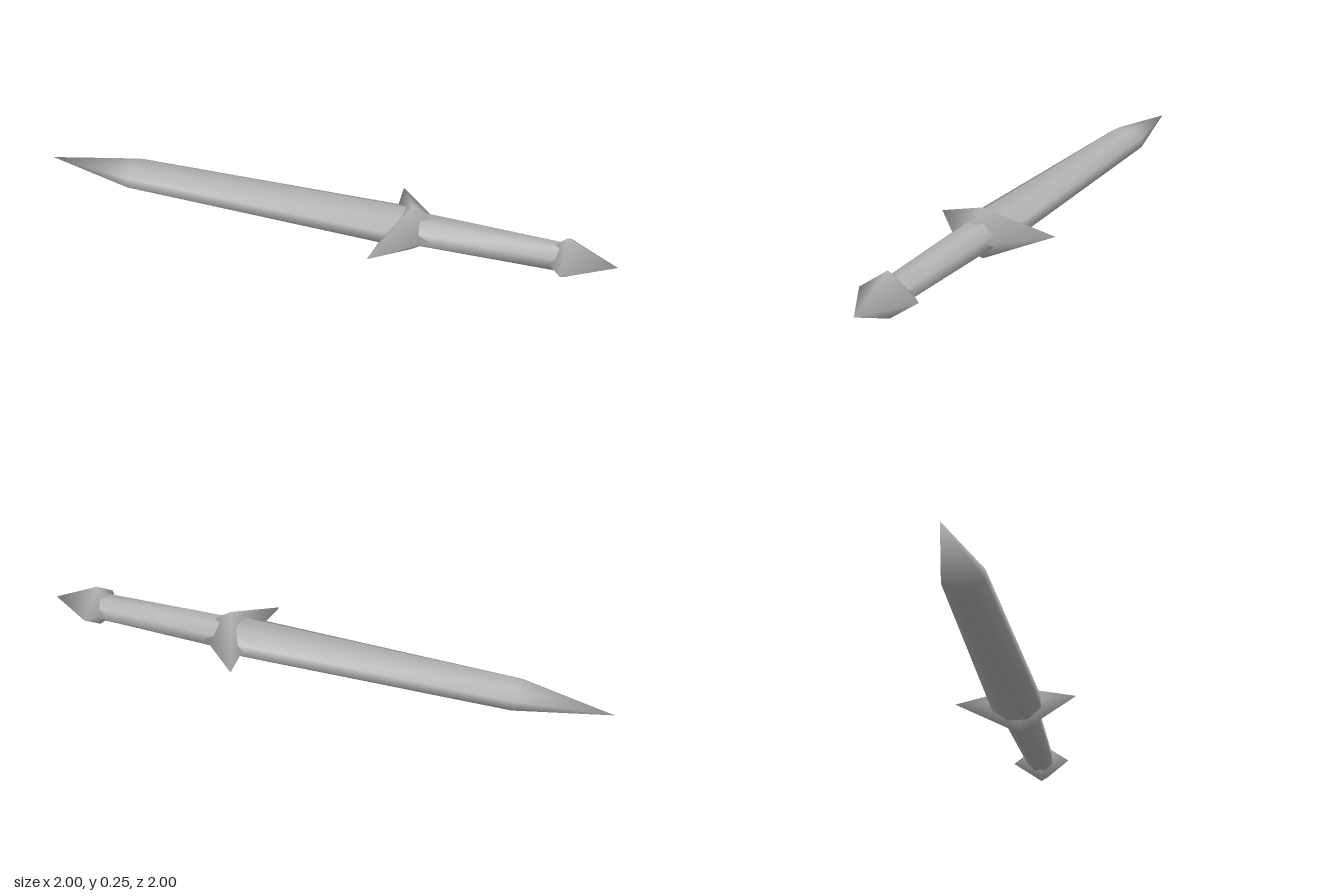
import * as THREE from 'three';
import { mergeVertices } from 'three/addons/utils/BufferGeometryUtils.js';

// Smooth skin through rings along z. Each ring is [z, halfWidth, halfHeight, sweep];
// sweep shifts the side points of a ring along z.
function loft(rings, sides, phase) {
  const pos = [], idx = [];
  const grow = 1 / Math.cos(phase);
  for (const [z, w, h, sweep = 0] of rings) {
    for (let j = 0; j < sides; j++) {
      const a = phase + (j / sides) * Math.PI * 2;
      const c = Math.cos(a), s = Math.sin(a);
      pos.push(c * w * grow, s * h * grow, z + sweep * c * c);
    }
  }
  for (let i = 0; i < rings.length - 1; i++) {
    for (let j = 0; j < sides; j++) {
      const k = (j + 1) % sides;
      const a = i * sides + j, b = i * sides + k;
      if (rings[i][1] > 0) idx.push(a, b, a + sides);
      if (rings[i + 1][1] > 0) idx.push(b, b + sides, a + sides);
    }
  }
  let geo = new THREE.BufferGeometry();
  geo.setAttribute('position', new THREE.Float32BufferAttribute(pos, 3));
  geo.setIndex(idx);
  geo = mergeVertices(geo);
  geo.computeVertexNormals();
  return geo;
}

export function createModel() {
  const model = new THREE.Group();
  model.name = 'sword';
  const steel = new THREE.MeshStandardMaterial({ color: 0xb4b4b4 });
  steel.name = 'steel grey';

  // The sword lies flat, tip to the back right, pommel to the front left
  const body = new THREE.Group();
  body.name = 'swordBody';
  body.position.y = 0.125;
  body.rotation.y = Math.PI / 4;
  model.add(body);

  const add = (name, geo) => {
    const mesh = new THREE.Mesh(geo, steel);
    mesh.name = name;
    body.add(mesh);
  };

  const oct = Math.PI / 8;
  // Blade: long taper, then a pointed tip
  add('blade', loft([[-1.414, 0, 0], [-0.965, 0.094, 0.062], [0.42, 0.125, 0.071]], 8, oct));
  // Handle: tapers towards the pommel
  add('handle', loft([[0.42, 0.092, 0.071], [1.16, 0.066, 0.062]], 8, oct));
  // Crossguard: faceted body with tips swept towards the blade
  add('crossguard', loft([[0.355, 0, 0], [0.453, 0.304, 0.125, -0.128], [0.645, 0, 0]], 4, 0));
  // Pommel: four-sided double point
  add('pommel', loft([[1.054, 0, 0], [1.177, 0.15, 0.11], [1.414, 0, 0]], 4, 0));

  return model;
}
